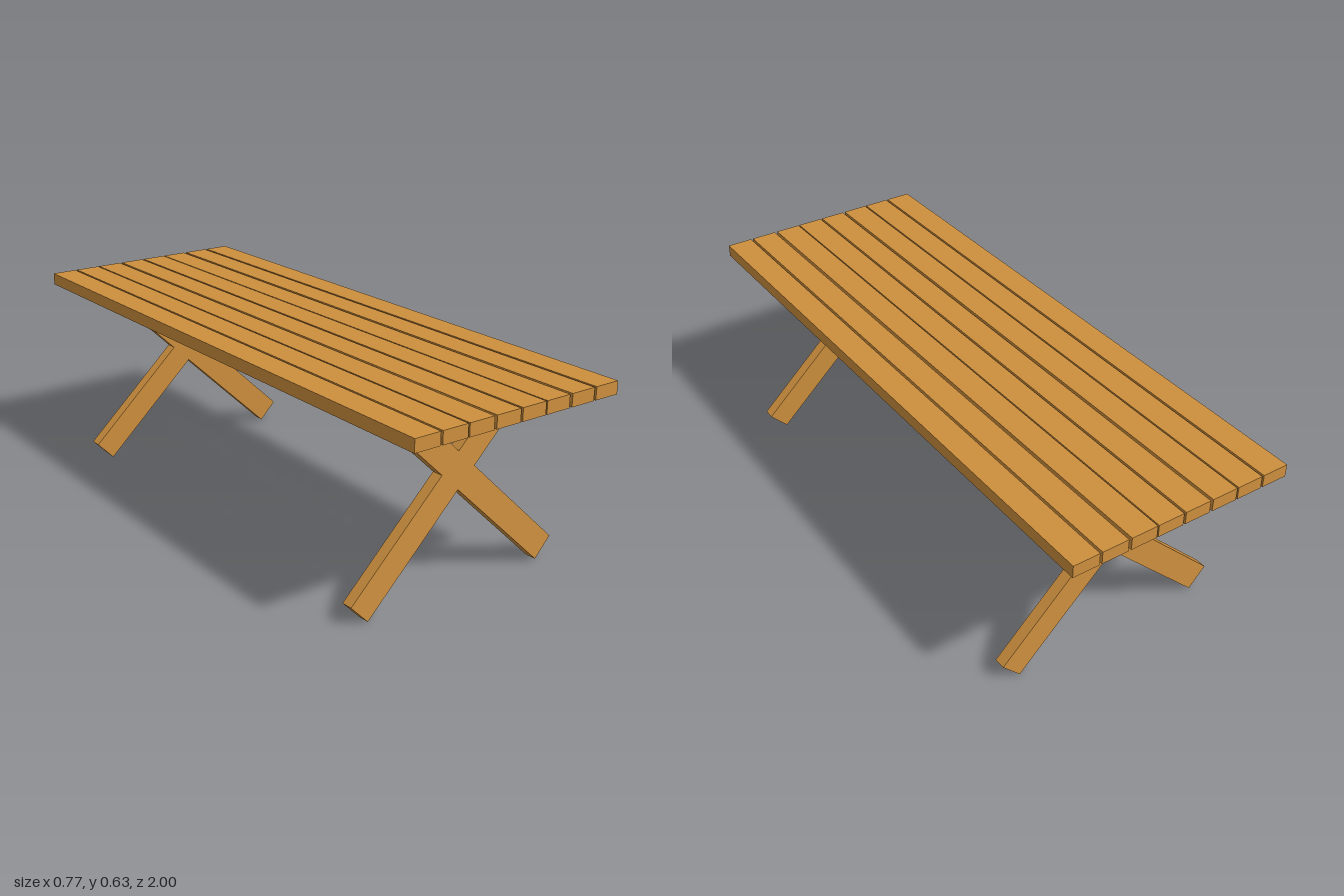
import * as THREE from 'three';

export function createModel() {
  const model = new THREE.Group();
  model.name = 'picnicTable';
  const wood = new THREE.MeshStandardMaterial({ color: 0xcd8f3e });

  const board = (name, w, h, d, parent) => {
    const mesh = new THREE.Mesh(new THREE.BoxGeometry(w, h, d), wood);
    mesh.name = name;
    parent.add(mesh);
    return mesh;
  };

  // Table top: eight slightly unevenly spaced planks
  const top = new THREE.Group();
  top.name = 'tableTop';
  model.add(top);
  [-0.336, -0.243, -0.152, -0.057, 0.036, 0.126, 0.222, 0.316].forEach((x, i) => {
    board(`plank${i + 1}`, 0.086, 0.04, 2, top).position.set(x, 0.617, 0);
  });

  // Crossed leg pairs, each leaning slightly inward at the top
  const legPair = (name, z, lean) => {
    const pair = new THREE.Group();
    pair.name = name;
    for (const side of [-1, 1]) {
      const leg = board(side < 0 ? 'rightLeg' : 'leftLeg', 0.815, 0.085, 0.038, pair);
      leg.position.set(side * 0.062, 0.315, 0);
      leg.rotation.z = -side * 0.763;
    }
    pair.position.z = z;
    pair.rotation.x = lean;
    model.add(pair);
  };
  legPair('frontLegs', 0.751, -0.028);
  legPair('backLegs', -0.731, 0.028);

  return model;
}
